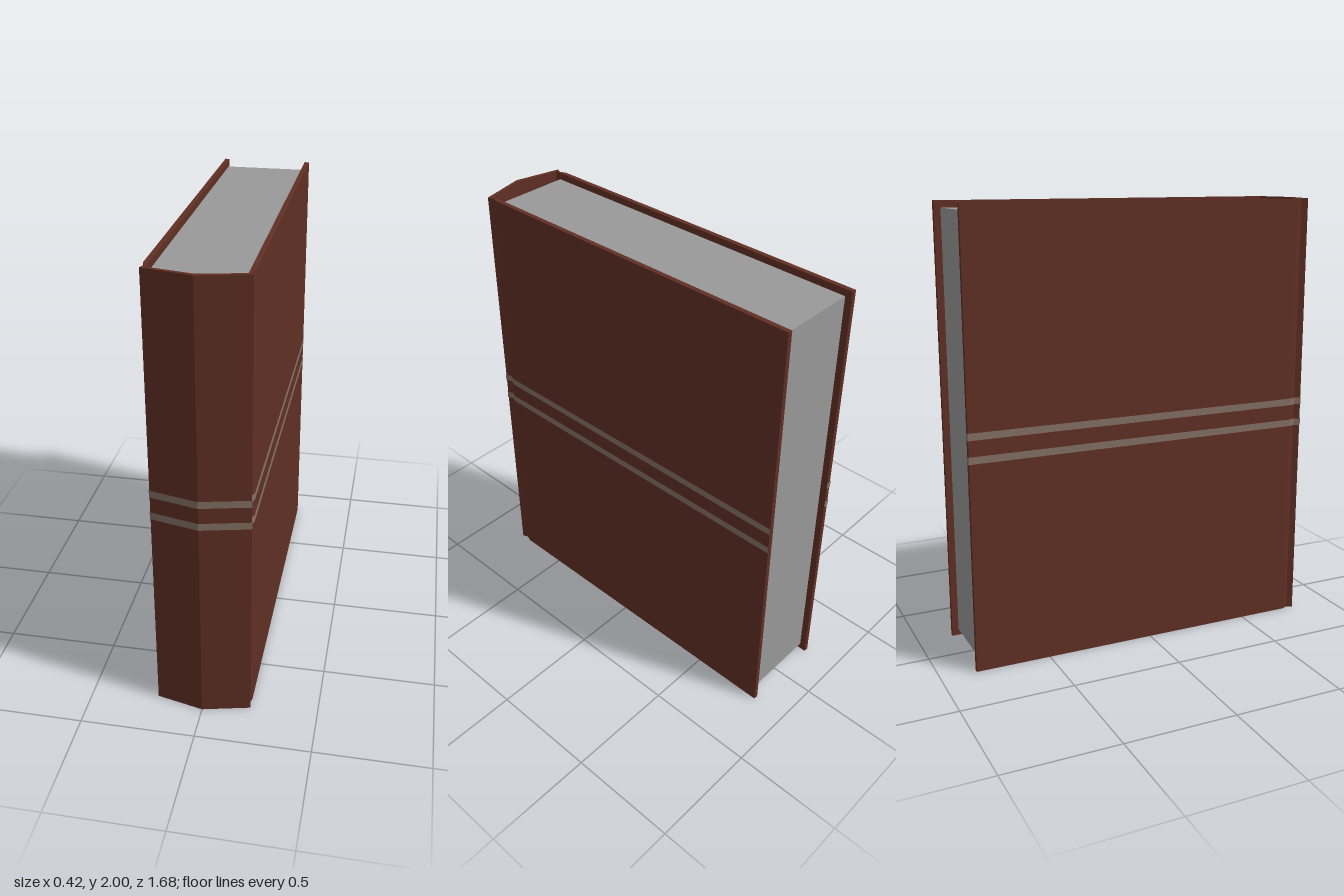
import * as THREE from 'three';

const coverMat = new THREE.MeshStandardMaterial({ color: 0x602f24 });
coverMat.name = 'brown cover';
const pageMat = new THREE.MeshStandardMaterial({ color: 0x999999 });
pageMat.name = 'grey paper';
const stripeMat = new THREE.MeshStandardMaterial({ color: 0x857065, side: THREE.DoubleSide });
stripeMat.name = 'pale stripe';

// Half outlines of the cover seen from above, as [x, z], from the back edge to the spine ridge
const outer = [[0.207, -0.84], [0.207, 0.735], [0.196, 0.763], [0.207, 0.79], [0, 0.838]];
const inner = [[0.186, -0.84], [0.186, 0.78], [0, 0.82]];

// Mirrors a half outline into a full path running from +x to -x
const fullPath = (half) => [...half, ...half.slice(0, -1).reverse().map(([x, z]) => [-x, z])];

// Open vertical band following a path of [x, z] points
function ribbon(path, y0, y1) {
  const pos = [];
  for (let i = 0; i < path.length - 1; i++) {
    const [ax, az] = path[i], [bx, bz] = path[i + 1];
    pos.push(ax, y0, az, ax, y1, az, bx, y1, bz, ax, y0, az, bx, y1, bz, bx, y0, bz);
  }
  // Reverse the corner order so the band faces outward
  const out = [];
  for (let i = pos.length - 3; i >= 0; i -= 3) out.push(pos[i], pos[i + 1], pos[i + 2]);
  const geo = new THREE.BufferGeometry();
  geo.setAttribute('position', new THREE.Float32BufferAttribute(out, 3));
  geo.computeVertexNormals();
  return geo;
}

export function createModel() {
  const book = new THREE.Group();
  book.name = 'book';
  const add = (name, geo, mat) => {
    const mesh = new THREE.Mesh(geo, mat);
    mesh.name = name;
    book.add(mesh);
    return mesh;
  };

  // Cover boards, hinge grooves and ridged spine in one folded sheet
  const outline = [...fullPath(outer), ...fullPath(inner).reverse()];
  const shape = new THREE.Shape(outline.map(([x, z]) => new THREE.Vector2(x, -z)));
  const coverGeo = new THREE.ExtrudeGeometry(shape, { depth: 2, bevelEnabled: false });
  coverGeo.rotateX(-Math.PI / 2);
  add('cover', coverGeo, coverMat);

  // Page block, set in from the cover edges
  add('pages', new THREE.BoxGeometry(0.372, 1.94, 1.565), pageMat).position.set(0, 1, -0.0275);

  // Two stripes wrapped round the outside, turning over one rear edge
  const lift = 0.002;
  const half = outer.map(([x, z], i) => [
    x ? x + lift : 0,
    z + (i === 0 ? 0 : i > 2 ? lift : 0),
  ]);
  const path = fullPath(half);
  path[path.length - 1][1] -= lift;
  path.push([-0.186, -0.84 - lift]);
  for (const [name, y0, y1] of [['lowerStripe', 0.938, 0.97], ['upperStripe', 1.04, 1.072]]) {
    add(name, ribbon(path, y0, y1), stripeMat);
  }
  return book;
}
